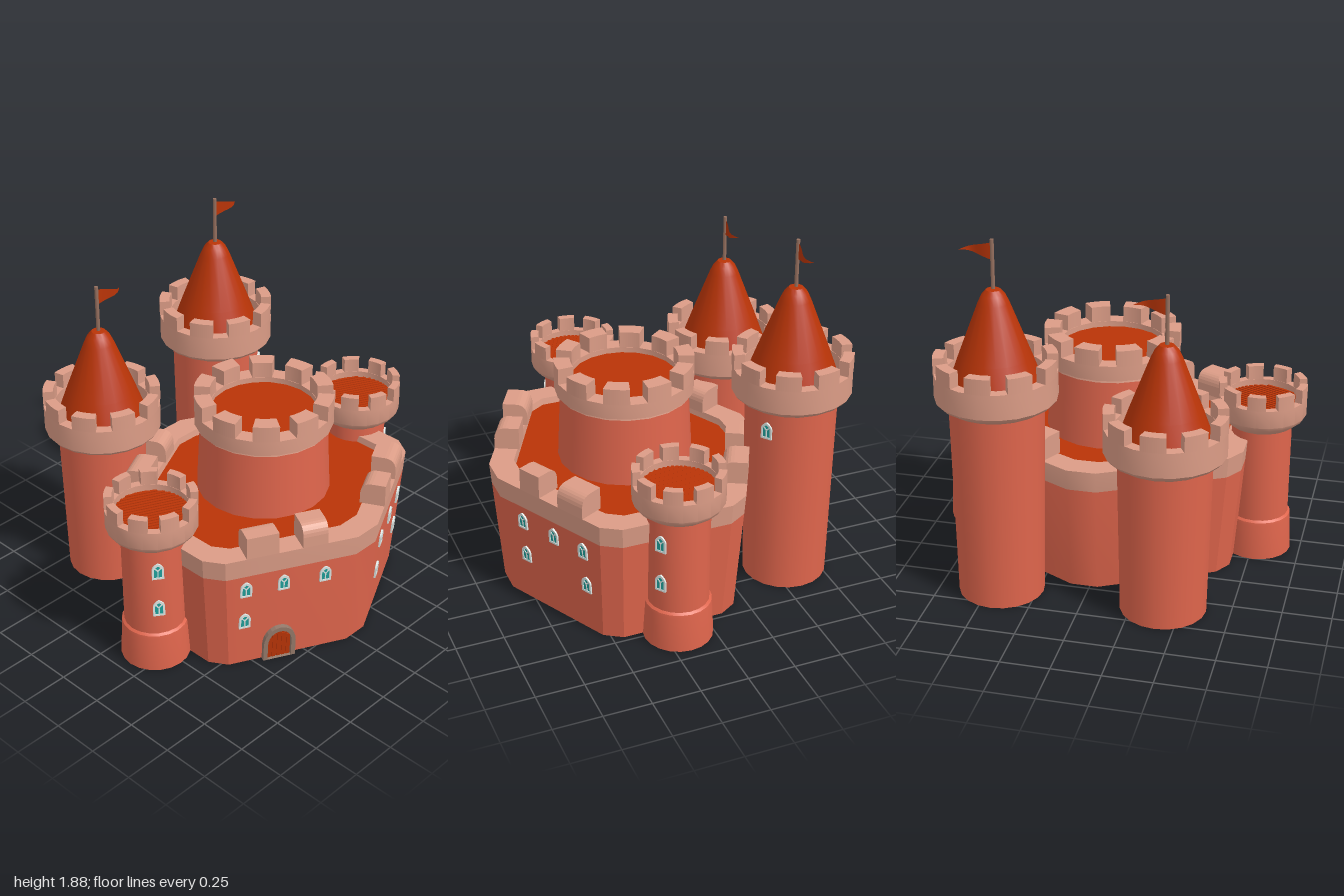
import * as THREE from 'three';
import { toCreasedNormals } from 'three/addons/utils/BufferGeometryUtils.js';

const mat = (name, color) => new THREE.MeshStandardMaterial({ name, color, side: THREE.DoubleSide });
const M = {
  wall: mat('brick red', 0xdf654c),
  trim: mat('sandstone', 0xdb9c86),
  roof: mat('rust roof', 0xb93407),
  pole: mat('pole brown', 0x96705f),
  pane: mat('teal glass', 0x1fa09b),
  frame: mat('pale window frame', 0xe6efec),
  arch: mat('door stone', 0x94796a),
};
const SEG = 20, CX = 0.03, CZ = 0.175, WALL_TOP = 0.68;
// Corner and tip of the slanted walls, in plan
const CORNER = [0.69, 0.387], TIP = [0.075, 0.705];
const RUN = CORNER[0] - TIP[0], RISE = TIP[1] - CORNER[1];
const SLOPE = RISE / RUN, TILT = 0.073;

function add(parent, name, geo, material, x = 0, y = 0, z = 0) {
  const m = new THREE.Mesh(geo, material);
  m.name = name;
  m.position.set(x, y, z);
  parent.add(m);
  return m;
}
function group(parent, name, x = 0, y = 0, z = 0) {
  const g = new THREE.Group();
  g.name = name;
  g.position.set(x, y, z);
  parent.add(g);
  return g;
}
const lathe = (pts) => toCreasedNormals(
  new THREE.LatheGeometry(pts.map(([r, y]) => new THREE.Vector2(r, y)), SEG), 0.6);

// Chamfered hexagon plan, scaled in x and z
function outline(sx, sz = sx) {
  const q = [[0.75, 0.29], CORNER, TIP];
  const back = [...q].reverse();
  return [
    ...q, ...back.map(([x, z]) => [-x, z]),
    ...q.map(([x, z]) => [-x, -z]), ...back.map(([x, z]) => [x, -z]),
  ].map(([x, z]) => [x * sx, z * sz]);
}
// Skin through a list of [scaleX, scaleZ, y] rings, soft only across the blunt tips
function loft(rings) {
  const pos = [];
  for (let k = 0; k + 1 < rings.length; k++) {
    const [a, b] = [rings[k], rings[k + 1]];
    const A = outline(a[0], a[1]), B = outline(b[0], b[1]);
    A.forEach((p, i) => {
      const j = (i + 1) % A.length;
      const p0 = [p[0], a[2], p[1]], p1 = [A[j][0], a[2], A[j][1]];
      const q0 = [B[i][0], b[2], B[i][1]], q1 = [B[j][0], b[2], B[j][1]];
      pos.push(...p0, ...q0, ...q1, ...p0, ...q1, ...p1);
    });
  }
  const g = new THREE.BufferGeometry();
  g.setAttribute('position', new THREE.Float32BufferAttribute(pos, 3));
  return toCreasedNormals(g, 0.5);
}
const wallScale = (y) => 0.925 + 0.075 * y / WALL_TOP;

// Arch outline; a larger shoulder gives a rounder top
function archPath(w, h, shoulder, Type = THREE.Shape) {
  const s = new Type(), k = h - w * 0.6, c = h - w * shoulder;
  s.moveTo(-w / 2, 0);
  s.lineTo(w / 2, 0);
  s.lineTo(w / 2, k);
  s.bezierCurveTo(w / 2, (k + c) / 2, w * 0.3, c, 0, h);
  s.bezierCurveTo(-w * 0.3, c, -w / 2, (k + c) / 2, -w / 2, k);
  return s;
}
const extrude = (shape, depth) =>
  new THREE.ExtrudeGeometry(shape, { depth, bevelEnabled: false, curveSegments: 6 });

// Window shapes: pointed rim with Y tracery over a flat pane
const rim = archPath(0.06, 0.092, 0.15);
rim.holes.push(archPath(0.04, 0.068, 0.15, THREE.Path));
rim.holes[0].curves.forEach((c) => ['v0', 'v1', 'v2', 'v3'].forEach((k) => c[k] && (c[k].y += 0.01)));
const RIM = extrude(rim, 0.009), PANE = extrude(archPath(0.05, 0.082, 0.15), 0.004);

function addWindow(parent, x, y, z, ry, tilt = 0) {
  const g = group(parent, 'window', x, y, z);
  g.rotation.set(tilt, ry, 0, 'YXZ');
  add(g, 'windowFrame', RIM, M.frame, 0, -0.046, 0.001);
  add(g, 'windowPane', PANE, M.pane, 0, -0.042, 0.002);
  add(g, 'mullion', new THREE.BoxGeometry(0.006, 0.04, 0.004), M.frame, 0, -0.017, 0.007);
  for (const s of [-1, 1])
    add(g, 'tracery', new THREE.BoxGeometry(0.006, 0.026, 0.004), M.frame, s * 0.008, 0.011, 0.007)
      .rotation.z = -s * 0.7;
}
// Depth and facing on one of the two front walls
function onFront(x, y) {
  const s = wallScale(y), d = Math.abs(x - CX);
  return { z: CZ + s * TIP[1] - (d - s * TIP[0]) * SLOPE, ry: Math.sign(x - CX) * Math.atan(SLOPE) };
}

// Flared ring with notches around a tower top
function addCrown(parent, rShaft, R, r, y0, notch, top, floor, count, flare) {
  const g = group(parent, 'crown');
  add(g, 'crownRing', lathe([[rShaft - 0.02, y0], [rShaft + 0.01, y0], [R - 0.015, y0 + flare * 0.6],
    [R, y0 + flare], [R, notch], [r, notch], [r, floor - 0.02]]), M.trim);
  const a = Math.PI / count * 0.6;
  const s = new THREE.Shape();
  s.absarc(0, 0, R, -a, a, false);
  s.absarc(0, 0, r, a, -a, true);
  const geo = extrude(s, top - notch).rotateX(-Math.PI / 2);
  for (let i = 0; i < count; i++)
    add(g, 'merlon', geo, M.trim, 0, notch, 0).rotation.y = (i + 0.25) * 2 * Math.PI / count;
}
const disc = (r) => new THREE.CircleGeometry(r, SEG).rotateX(-Math.PI / 2);

function buildHall(root) {
  const g = group(root, 'hall', CX, 0, CZ);
  const s = wallScale(0.57);
  add(g, 'outerWall', loft([[0.925, 0.925, 0], [s, s, 0.57]]), M.wall);
  add(g, 'parapet', loft([[s, s, 0.57], [1, 1, WALL_TOP], [0.845, 0.817, WALL_TOP], [0.835, 0.807, 0.645]]), M.trim);
  const plan = new THREE.Shape(outline(0.84, 0.812).map(([x, z]) => new THREE.Vector2(x, -z)));
  add(g, 'hallRoof', new THREE.ShapeGeometry(plan).rotateX(-Math.PI / 2), M.roof, 0, 0.645, 0);

  // Wall merlons with one rounded top edge, alternately facing in and out
  const p = new THREE.Shape();
  p.moveTo(-0.065, 0);
  p.lineTo(0.065, 0);
  p.lineTo(0.065, 0.06);
  p.quadraticCurveTo(0.06, 0.12, 0.005, 0.12);
  p.lineTo(-0.065, 0.12);
  const dir = Math.hypot(RUN, RISE);
  for (const sx of [-1, 1]) for (const sz of [-1, 1]) [[0.16, 0.4], [0.58, 0.77]].forEach(([t0, t1], i) => {
    const len = (t1 - t0) * dir, t = (t0 + t1) / 2;
    const geo = extrude(p, len).rotateY(Math.PI / 2).translate(-len / 2, 0, 0);
    const outward = (sx * sz < 0) === (i === 1);
    add(g, 'wallMerlon', geo, M.trim, sx * (CORNER[0] - RUN * t - 0.065 * RISE / dir), WALL_TOP,
      sz * (CORNER[1] + RISE * t - 0.065 * RUN / dir))
      .rotation.y = Math.atan2(sx * RISE, sz * RUN) + (outward ? Math.PI : 0);
  });

  // Windows of the two front walls
  const spots = [-0.555, -0.38, -0.185, 0.24, 0.43, 0.605].map((x) => [x, 0.49])
    .concat([-0.55, 0.235, 0.605].map((x) => [x, 0.285]));
  for (const [x, y] of spots) {
    const f = onFront(x, y);
    addWindow(root, x, y, f.z, f.ry, TILT);
  }

  // Gate with plank door, set through the wall
  const f = onFront(-0.375, 0), d = group(root, 'gate', -0.375, 0, f.z);
  d.rotation.set(TILT, f.ry, 0, 'YXZ');
  const arch = archPath(0.172, 0.205, 0);
  arch.holes.push(archPath(0.126, 0.18, 0, THREE.Path));
  add(d, 'gateArch', extrude(arch, 0.04), M.arch, 0, 0, -0.015);
  add(d, 'gateDoor', extrude(archPath(0.13, 0.182, 0), 0.014), M.roof, 0, 0, -0.008);
  for (let i = -2; i <= 2; i++)
    add(d, 'plank', new THREE.BoxGeometry(0.018, 0.165 - Math.abs(i) * 0.014, 0.022), M.roof,
      i * 0.025, 0.083 - Math.abs(i) * 0.007, -0.001);
}

function buildKeep(root) {
  const g = group(root, 'keep', CX, 0, 0.166);
  add(g, 'keepWall', new THREE.CylinderGeometry(0.328, 0.35, 0.42, SEG, 1, true), M.wall, 0, 0.83, 0);
  addCrown(g, 0.335, 0.358, 0.275, 1.015, 1.11, 1.195, 1.08, 10, 0.015);
  add(g, 'keepRoof', disc(0.28), M.roof, 0, 1.08, 0);
}

function buildSideTower(root, side) {
  const g = group(root, side > 0 ? 'leftSideTower' : 'rightSideTower', side * 0.77, 0, 0.17);
  add(g, 'sideTowerWall', lathe([[0.178, 0], [0.17, 0.195], [0.168, 0.21], [0.156, 0.22], [0.158, 0.75]]), M.wall);
  addCrown(g, 0.16, 0.23, 0.19, 0.73, 0.885, 0.96, 0.85, 9, 0.06);
  add(g, 'sideTowerFloor', disc(0.195), M.roof, 0, 0.85, 0);
  // Raised floor boards
  const boards = group(g, 'floorBoards', 0, 0.852, 0);
  boards.rotation.y = -0.45;
  for (let i = -8; i <= 8; i++) {
    const z = i * 0.021;
    add(boards, 'floorBoard', new THREE.BoxGeometry(2 * Math.sqrt(0.035 - z * z), 0.006, 0.014), M.roof, 0, 0, z);
  }
  const a = side * 0.61;
  for (const y of [0.61, 0.385])
    addWindow(g, Math.sin(a) * 0.156, y, Math.cos(a) * 0.156, a);
}

function buildBackTower(root, name, x, drop) {
  const g = group(root, name, x, 0, -0.58);
  const h = 1.06 - drop;
  add(g, 'backTowerWall', new THREE.CylinderGeometry(0.237, 0.22, h, SEG, 1, true), M.wall, 0, h / 2, 0);
  addCrown(g, 0.237, 0.305, 0.25, 1.035 - drop, 1.21 - drop, 1.29 - drop, 1.1 - drop, 9, 0.045);
  const top = group(g, 'spire', 0, -drop, 0);
  add(top, 'coneRoof', lathe([[0.25, 1.1], [0.18, 1.295], [0.077, 1.565], [0.058, 1.605], [0.036, 1.63], [0, 1.635]]), M.roof);
  add(top, 'flagPole', new THREE.CylinderGeometry(0.01, 0.01, 0.27, 8), M.pole, 0, 1.745, 0);
  // Waving pennant, narrowing to its tip
  const flag = new THREE.PlaneGeometry(0.155, 0.085, 8, 1).translate(0.0775, 0, 0);
  const p = flag.attributes.position;
  for (let i = 0; i < p.count; i++) {
    const t = p.getX(i) / 0.155;
    p.setY(i, p.getY(i) * (1 - t));
    p.setZ(i, 0.022 * Math.sin(t * t * 3.6));
  }
  flag.computeVertexNormals();
  add(top, 'flag', flag, M.roof, 0.007, 1.82, 0);
  return g;
}

export function createModel() {
  const root = new THREE.Group();
  root.name = 'castle';
  buildHall(root);
  buildKeep(root);
  for (const side of [-1, 1]) buildSideTower(root, side);
  buildBackTower(root, 'rightBackTower', -0.408, 0.205);
  const tall = buildBackTower(root, 'leftBackTower', 0.438, 0);
  addWindow(tall, Math.sin(0.6) * 0.234, 0.935, Math.cos(0.6) * 0.234, 0.6);
  return root;
}
